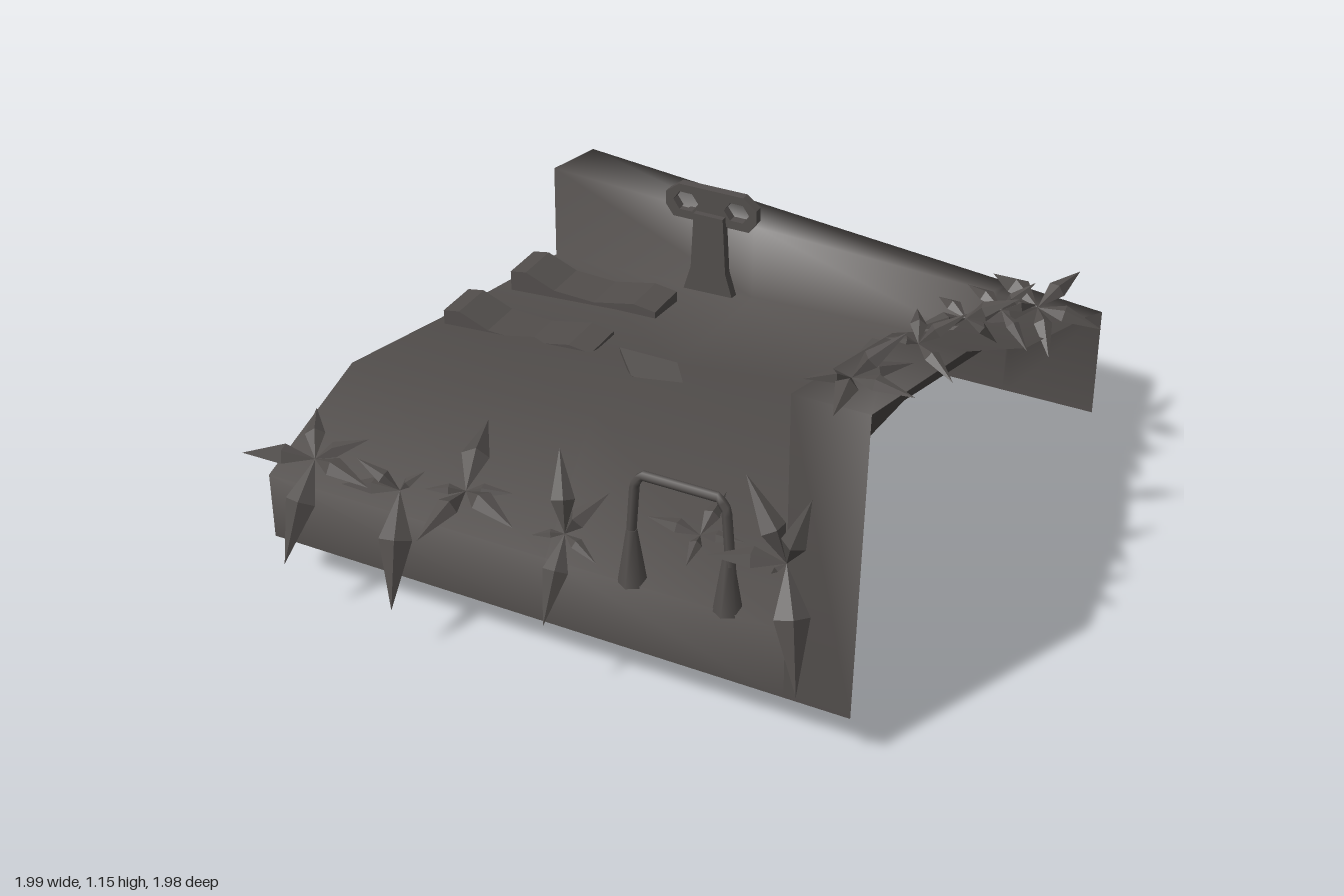
import * as THREE from 'three';
import { mergeGeometries } from 'three/addons/utils/BufferGeometryUtils.js';

const stone = new THREE.MeshStandardMaterial({ color: 0x524e4c, side: THREE.DoubleSide });
stone.name = 'dark stone';
const V = (p) => new THREE.Vector3(...p);

function add(group, name, geometry) {
  const mesh = new THREE.Mesh(geometry, stone);
  mesh.name = name;
  group.add(mesh);
  return mesh;
}

// Open shell lofted through cross-sections from front to back.
// Each section: skirt foot, floor left, floor middle, wall foot, wall top inner, wall top outer.
function shellGeometry() {
  const sections = [
    [0.82, [[-0.85, 0.15], [-0.85, 0.15], [0, 0.15], [0.67, 0.15], [0.67, 0.15], [0.85, 0.15]]],
    [0.82, [[-0.85, 0.15], [-0.85, 0.35], [0, 0.355], [0.67, 0.36], [0.67, 1.04], [0.87, 1.04]]],
    [0.2, [[-1, 0.15], [-1, 0.32], [-0.2, 0.385], [0.56, 0.45], [0.67, 0.87], [0.87, 0.87]]],
    [-0.28, [[-1, 0], [-1, 0.22], [-0.2, 0.275], [0.53, 0.355], [0.66, 0.62], [0.87, 0.62]]],
    [-0.82, [[-0.9, 0], [-0.9, 0.2], [-0.2, 0.22], [0.58, 0.25], [0.6, 0.435], [0.87, 0.43]]],
    [-0.825, [[-0.9, 0], [-0.9, 0.51], [-0.2, 0.47], [0.58, 0.44], [0.6, 0.44], [0.87, 0.43]]],
    [-1, [[-0.855, 0], [-0.855, 0.51], [-0.2, 0.45], [0.58, 0.38], [0.6, 0.38], [0.87, 0.355]]],
    [-1, [[-0.855, 0], [-0.855, 0], [-0.2, 0], [0.58, 0], [0.6, 0], [0.87, 0]]],
  ];
  const position = [];
  const index = [];
  const n = 6;
  sections.forEach(([z, points], r) => {
    points.forEach(([x, y], c) => {
      position.push(x, y, z);
      if (r < sections.length - 1 && c < n - 1) {
        const a = r * n + c;
        index.push(a, a + 1, a + n, a + 1, a + n + 1, a + n);
      }
    });
  });
  const g = new THREE.BufferGeometry();
  g.setAttribute('position', new THREE.Float32BufferAttribute(position, 3));
  g.setIndex(index);
  g.computeVertexNormals();
  return g;
}

// Bent pointed leaf from a root to a tip
function leaf(root, tip, width) {
  const a = V(root), b = V(tip);
  const dir = b.clone().sub(a).normalize();
  const side = new THREE.Vector3().crossVectors(dir, V([0.3, 0.8, 0.5])).normalize();
  const lift = new THREE.Vector3().crossVectors(side, dir).multiplyScalar(width * 0.35);
  const mid = a.clone().lerp(b, 0.4).add(lift);
  const l = mid.clone().addScaledVector(side, width / 2);
  const r = mid.clone().addScaledVector(side, -width / 2);
  mid.add(lift);
  const tris = [a, mid, l, a, r, mid, l, mid, b, mid, r, b];
  const g = new THREE.BufferGeometry().setFromPoints(tris);
  g.computeVertexNormals();
  return g;
}

function bush(group, name, root, tips) {
  add(group, name, mergeGeometries(tips.map((t) => leaf(root, t, 0.28 * V(root).distanceTo(V(t))))));
}

// Worn plank with raised ends
function plankGeometry() {
  const s = new THREE.Shape();
  s.moveTo(-0.255, 0.2);
  s.lineTo(0.255, 0.2);
  s.lineTo(0.255, 0.265);
  s.lineTo(0.18, 0.275);
  s.lineTo(0.04, 0.245);
  s.lineTo(-0.1, 0.25);
  s.lineTo(-0.2, 0.29);
  s.lineTo(-0.255, 0.28);
  s.closePath();
  return new THREE.ExtrudeGeometry(s, { depth: 0.145, bevelEnabled: false }).translate(0, 0, -0.0725);
}

// Flat outline in the x/y plane
function outline(points, Type = THREE.Shape) {
  return new Type(points.map(([x, y]) => new THREE.Vector2(x, y)));
}

export function createModel() {
  const model = new THREE.Group();
  model.name = 'rockyLedge';
  add(model, 'groundShell', shellGeometry());

  // Planks on the floor
  [[-0.645, -0.607], [-0.705, -0.307]].forEach(([x, z]) => {
    add(model, 'plank', plankGeometry()).position.set(x, 0, z);
  });

  // Post with a two-holed head, leaning on the back ledge
  const post = new THREE.Group();
  post.name = 'holedPost';
  const head = outline([[-0.155, 0.49], [-0.13, 0.455], [-0.06, 0.455], [0, 0.48], [0.06, 0.455],
    [0.13, 0.455], [0.155, 0.49], [0.155, 0.535], [0.11, 0.57], [-0.11, 0.57], [-0.155, 0.535]]);
  [-1, 1].forEach((s) => {
    const hole = Array.from({ length: 6 }, (_, i) => [
      s * 0.087 + 0.043 * Math.cos(i * Math.PI / 3), 0.513 + 0.035 * Math.sin(i * Math.PI / 3)]);
    head.holes.push(outline(hole, THREE.Path));
  });
  add(post, 'postHead', new THREE.ExtrudeGeometry(head, { depth: 0.03, bevelEnabled: false }))
    .position.z = -0.835;
  const stem = outline([[-0.09, 0.2], [0.09, 0.2], [0.06, 0.3], [0.05, 0.49], [-0.05, 0.49], [-0.06, 0.3]]);
  add(post, 'postStem', new THREE.ExtrudeGeometry(stem, { depth: 0.03, bevelEnabled: false }))
    .position.z = -0.815;
  post.position.x = -0.335;
  model.add(post);

  // Arched handle at the front edge
  const arch = new THREE.CurvePath();
  const path = [[0.235, 0.45], [0.25, 0.65], [0.27, 0.68], [0.48, 0.68], [0.5, 0.65], [0.515, 0.45]];
  for (let i = 0; i < path.length - 1; i++) {
    arch.add(new THREE.LineCurve3(V([...path[i], 0.8]), V([...path[i + 1], 0.8])));
  }
  add(model, 'archBar', new THREE.TubeGeometry(arch, 40, 0.013, 6));
  [0.24, 0.505].forEach((x) => {
    add(model, 'archFoot', new THREE.CylinderGeometry(0.014, 0.038, 0.16, 6)).position.set(x, 0.43, 0.8);
  });

  // Loose slabs on the floor
  const slab = (pts, y, tilt) => {
    const g = new THREE.ExtrudeGeometry(outline(pts.map(([x, z]) => [x, -z])), { depth: 0.02, bevelEnabled: false });
    const mesh = add(model, 'looseSlab', g.rotateX(-Math.PI / 2 + tilt));
    mesh.position.y = y;
  };
  slab([[0.285, -0.44], [0.4, -0.44], [0.41, -0.59], [0.305, -0.59]], 0.24, 0.13);
  slab([[-0.34, -0.22], [-0.15, -0.22], [-0.09, -0.14], [-0.12, -0.1], [-0.25, -0.12]], 0.27, 0.18);

  // Thorny growth along the front edge
  [
    [[-0.7, 0.44, 0.81], [[-0.9, 0.43, 0.86], [-0.71, 0.2, 0.97], [-0.57, 0.5, 0.74], [-0.5, 0.44, 0.86], [-0.8, 0.48, 0.65]]],
    [[-0.43, 0.43, 0.82], [[-0.38, 0.16, 0.97], [-0.55, 0.5, 0.83], [-0.6, 0.41, 0.84], [-0.36, 0.5, 0.8]]],
    [[-0.26, 0.45, 0.77], [[-0.34, 0.5, 0.52], [-0.36, 0.45, 0.81], [-0.28, 0.42, 0.98], [-0.06, 0.46, 0.87], [-0.13, 0.47, 0.75]]],
    [[0.06, 0.45, 0.82], [[0, 0.64, 0.73], [0.18, 0.6, 0.8], [0.07, 0.26, 0.96], [-0.02, 0.44, 0.85], [0.17, 0.42, 0.86]]],
    [[0.36, 0.44, 0.66], [[0.36, 0.48, 0.51], [0.48, 0.45, 0.65], [0.21, 0.45, 0.66], [0.38, 0.43, 0.78]]],
    [[0.67, 0.56, 0.82], [[0.55, 0.77, 0.8], [0.47, 0.54, 0.85], [0.76, 0.28, 0.95], [0.62, 0.5, 0.8], [0.74, 0.78, 0.84]]],
  ].forEach(([root, tips]) => bush(model, 'frontThorns', root, tips));

  // Thorny growth along the top of the side wall
  [
    [[0.76, 1.03, 0.68], [[0.87, 1.15, 0.62], [0.68, 1.06, 0.78], [0.8, 1.05, 0.88], [0.87, 1.04, 0.57], [0.92, 1.02, 0.68]]],
    [[0.8, 0.96, 0.36], [[0.74, 0.97, 0.22], [0.92, 0.92, 0.43], [0.73, 0.98, 0.4], [0.9, 1.04, 0.3]]],
    [[0.81, 0.87, 0.05], [[0.71, 0.88, 0.18], [0.94, 0.95, 0.03], [0.7, 0.86, -0.04], [0.88, 0.79, 0]]],
    [[0.8, 0.73, -0.26], [[0.67, 0.73, -0.35], [0.88, 0.82, -0.29], [0.7, 0.72, -0.13], [0.9, 0.66, -0.2], [0.86, 0.7, -0.38]]],
    [[0.81, 0.59, -0.55], [[0.62, 0.57, -0.71], [0.99, 0.55, -0.58], [0.87, 0.63, -0.73], [0.64, 0.54, -0.45], [0.9, 0.53, -0.4]]],
  ].forEach(([root, tips]) => bush(model, 'wallThorns', root, tips));

  return model;
}
